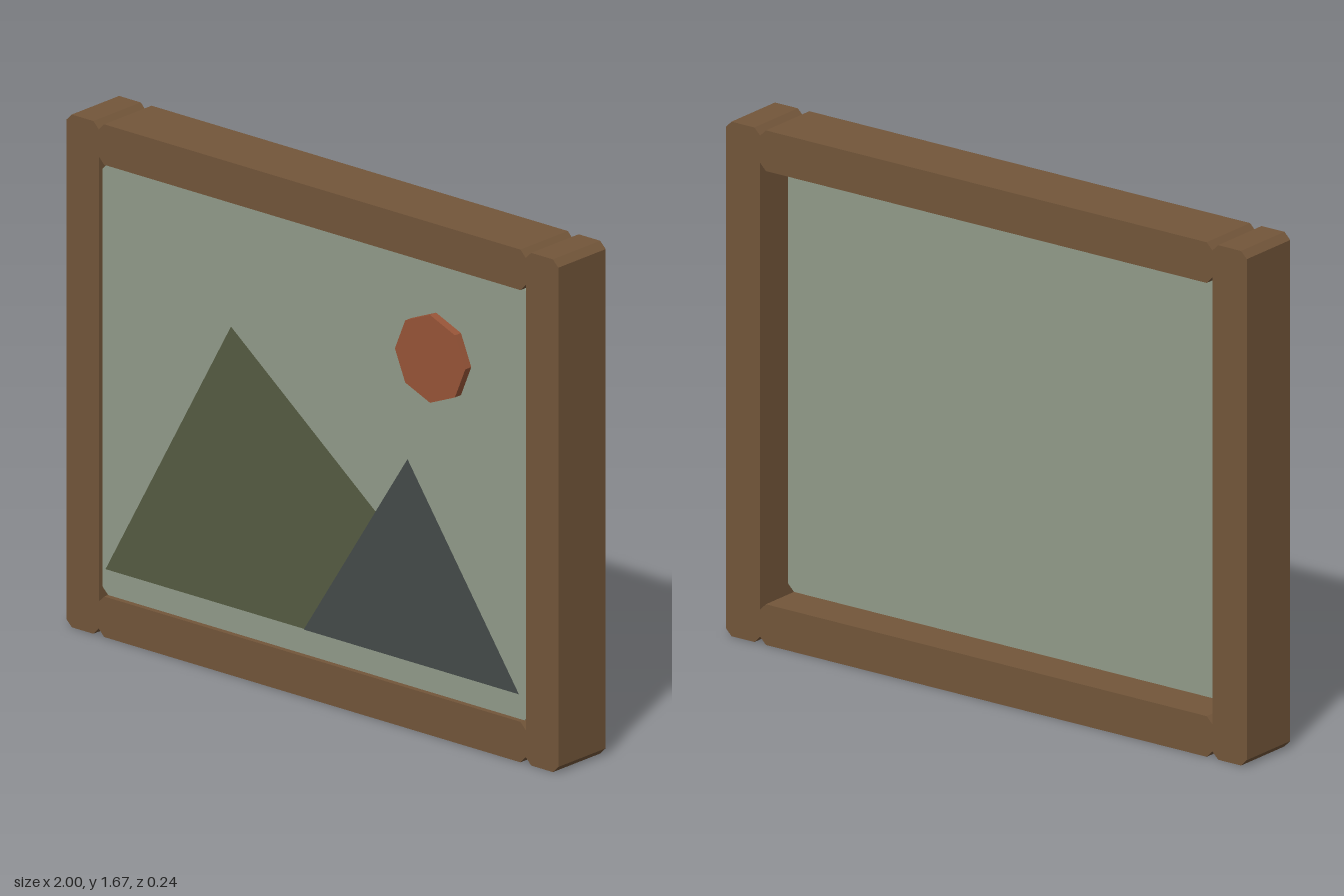
import * as THREE from 'three';

const mat = (color) => new THREE.MeshStandardMaterial({ color, flatShading: true, side: THREE.DoubleSide });
const wood = mat(0x73563a);

// Rectangular bar with clipped corners, extruded from z0 to z1
function clippedBar(name, x0, x1, y0, y1, z0, z1, material, c = 0.022) {
  const shape = new THREE.Shape([
    [x0 + c, y0], [x1 - c, y0], [x1, y0 + c], [x1, y1 - c],
    [x1 - c, y1], [x0 + c, y1], [x0, y1 - c], [x0, y0 + c],
  ].map(([x, y]) => new THREE.Vector2(x, y)));
  const geo = new THREE.ExtrudeGeometry(shape, { depth: z1 - z0, bevelEnabled: false });
  geo.translate(0, 0, z0);
  const mesh = new THREE.Mesh(geo, material);
  mesh.name = name;
  return mesh;
}

// Flat triangular cut-out
function mountain(name, points, z, color) {
  const shape = new THREE.Shape(points.map(([x, y]) => new THREE.Vector2(x, y)));
  const mesh = new THREE.Mesh(new THREE.ShapeGeometry(shape), mat(color));
  mesh.position.z = z;
  mesh.name = name;
  return mesh;
}

export function createModel() {
  const group = new THREE.Group();
  group.name = 'framedPicture';
  const W = 1, H = 1.67, inner = 0.868, rail = 0.132, back = -0.12, front = 0.1;

  // Frame: two full-height posts and two rails between them
  group.add(
    clippedBar('leftPost', inner, W, 0, H, back, front, wood),
    clippedBar('rightPost', -W, -inner, 0, H, back, front, wood),
    clippedBar('bottomRail', -inner, inner, 0, rail, back, front, wood),
    clippedBar('topRail', -inner, inner, H - rail, H, back, front, wood),
  );

  // Backing panel, set just behind the frame's front
  group.add(clippedBar('panel', -inner, inner, rail, H - rail, 0.022, 0.082, mat(0x929c8a)));

  // Landscape
  group.add(
    mountain('largeMountain', [[-0.845, 0.22], [0.83, 0.22], [-0.335, 1.133]], 0.095, 0x565c42),
    mountain('smallMountain', [[-0.035, 0.22], [0.84, 0.22], [0.387, 0.877]], 0.1, 0x454b4a),
  );

  // Eight-sided sun disc
  const sun = new THREE.Mesh(new THREE.CylinderGeometry(0.143, 0.143, 0.028, 8).rotateX(Math.PI / 2), mat(0x985538));
  sun.position.set(0.498, 1.236, 0.108);
  sun.name = 'sun';
  group.add(sun);

  return group;
}
